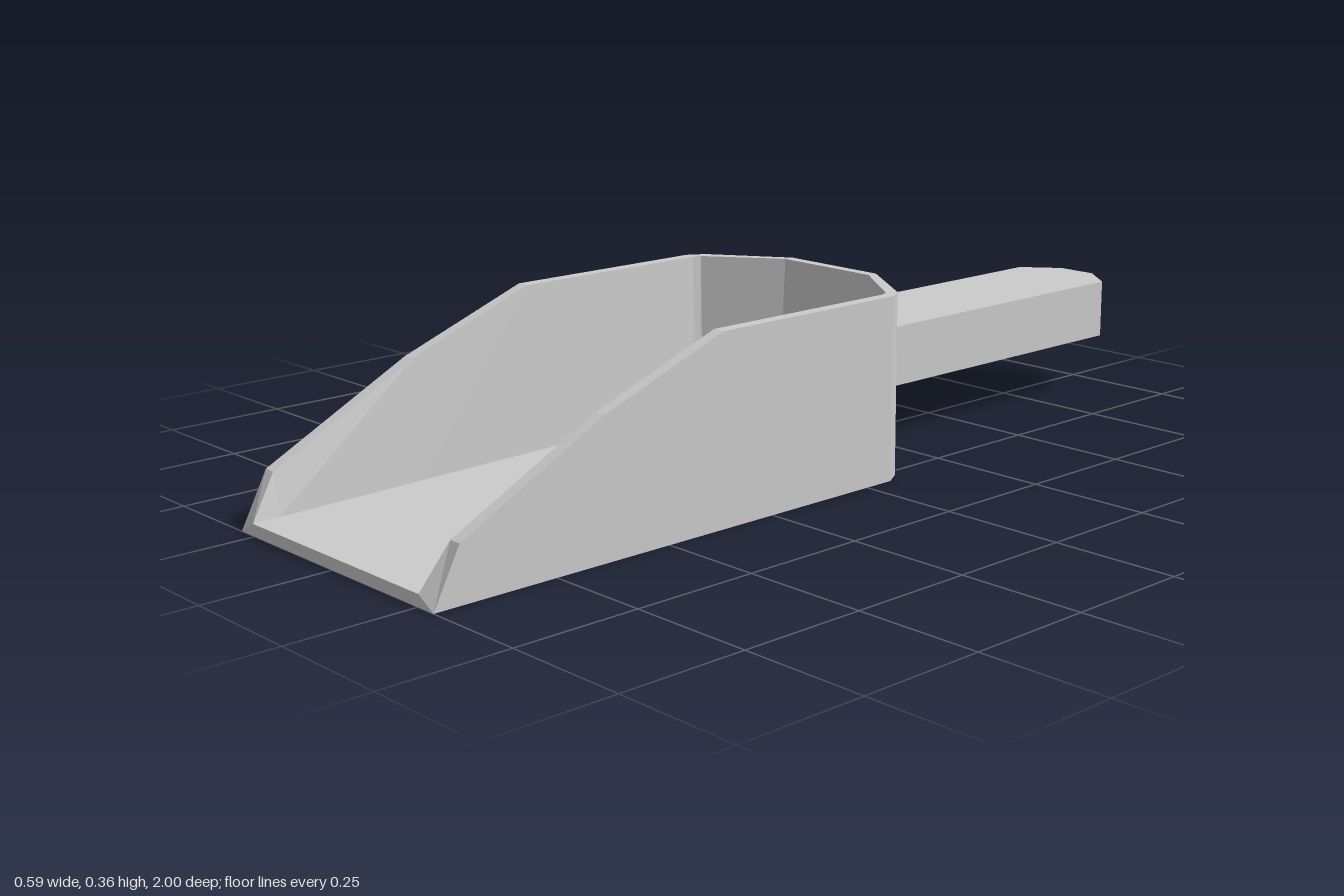
import * as THREE from 'three';

const material = new THREE.MeshStandardMaterial({ color: 0xcccccc, flatShading: true });

// Wall stations, front lip to back: [outer x, outer z, rim y, inner rim x, z, inner floor x, z]
const stations = [
  [0.293, 1, 0, 0.253, 1, 0.253, 1],
  [0.293, 0.945, 0.105, 0.268, 0.945, 0.253, 0.945],
  [0.293, 0.64, 0.262, 0.268, 0.64, 0.253, 0.64],
  [0.293, 0.37, 0.363, 0.268, 0.37, 0.253, 0.37],
  [0.293, -0.065, 0.363, 0.268, -0.06, 0.253, -0.055],
  [0.272, -0.1, 0.363, 0.262, -0.078, 0.248, -0.068],
  [0.118, -0.203, 0.363, 0.118, -0.182, 0.118, -0.165],
];

// Floor rises gently from the lip, then levels out
const floorY = (z) => 0.04 - 0.017 * Math.max(0, (z + 0.055) / 1.055);

function scoopGeometry() {
  const half = stations.map(([ox, oz, y, rx, rz, fx, fz], i) => {
    const floor = [fx, floorY(fz), fz];
    return {
      base: [ox, 0, oz],
      top: [ox, y, oz],
      rim: i === 0 ? floor : [rx, y, rz],
      floor,
    };
  });
  const flip = ([x, y, z]) => [-x, y, z];
  const mirrored = half.map((s) => ({
    base: flip(s.base), top: flip(s.top), rim: flip(s.rim), floor: flip(s.floor),
  }));
  const loop = [...half, ...[...mirrored].reverse()];

  const positions = [];
  const quad = (a, b, c, d) => positions.push(...a, ...b, ...c, ...a, ...c, ...d);

  // Outer wall, rim and inner wall around the U
  for (let i = 0; i < loop.length - 1; i++) {
    const p = loop[i], q = loop[i + 1];
    quad(p.base, q.base, q.top, p.top);
    quad(p.top, q.top, q.rim, p.rim);
    quad(p.rim, q.rim, q.floor, p.floor);
  }
  // Floor and underside across the U
  for (let i = 0; i < half.length - 1; i++) {
    const p = half[i], q = half[i + 1], pm = mirrored[i], qm = mirrored[i + 1];
    quad(p.floor, q.floor, qm.floor, pm.floor);
    quad(p.base, pm.base, qm.base, q.base);
  }
  // Front lip
  quad(mirrored[0].base, half[0].base, half[0].floor, mirrored[0].floor);

  const geometry = new THREE.BufferGeometry();
  geometry.setAttribute('position', new THREE.Float32BufferAttribute(positions, 3));
  geometry.computeVertexNormals();
  return geometry;
}

function handleGeometry() {
  // Plan outline with a chamfered end; shape y becomes -z
  const outline = [[0.118, 0.2], [0.118, 0.94], [0.043, 1], [-0.043, 1], [-0.118, 0.94], [-0.118, 0.2]];
  const shape = new THREE.Shape(outline.map(([x, y]) => new THREE.Vector2(x, y)));
  const geometry = new THREE.ExtrudeGeometry(shape, { depth: 0.123, bevelEnabled: false });
  return geometry.rotateX(-Math.PI / 2).translate(0, 0.122, 0);
}

export function createModel() {
  const group = new THREE.Group();
  group.name = 'scoop';
  const add = (name, geometry) => {
    const mesh = new THREE.Mesh(geometry, material);
    mesh.name = name;
    group.add(mesh);
  };
  add('bowl', scoopGeometry());
  add('handle', handleGeometry());
  return group;
}
